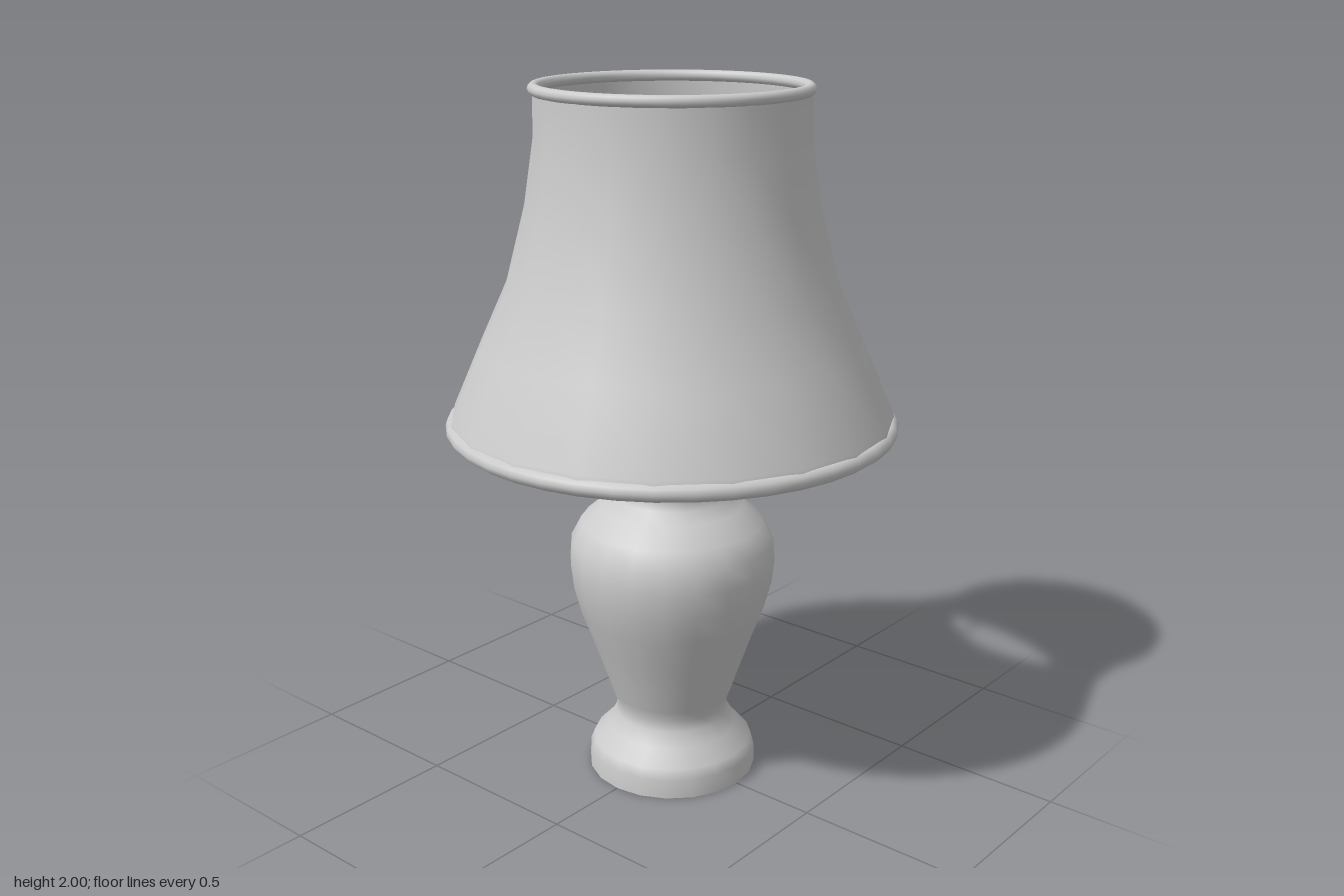
import * as THREE from 'three';

const SIDES = 20;

export function createModel() {
  const lamp = new THREE.Group();
  lamp.name = 'tableLamp';
  const grey = new THREE.MeshStandardMaterial({ color: 0xcccccc });
  const thin = new THREE.MeshStandardMaterial({ color: 0xcccccc, side: THREE.DoubleSide });

  const add = (name, geometry, material = grey) => {
    const mesh = new THREE.Mesh(geometry, material);
    mesh.name = name;
    lamp.add(mesh);
    return mesh;
  };
  // Profiles are [radius, height] pairs, listed from bottom to top
  const lathe = (profile) =>
    new THREE.LatheGeometry(profile.map(([r, y]) => new THREE.Vector2(r, y)), SIDES);

  // Turned baluster body with foot, belly and collar
  add('body', lathe([
    [0.247, 0], [0.245, 0.055], [0.233, 0.085], [0.19, 0.13], [0.167, 0.17], [0.162, 0.2],
    [0.175, 0.235], [0.2, 0.31], [0.235, 0.41], [0.268, 0.5], [0.289, 0.58], [0.297, 0.65],
    [0.292, 0.715], [0.263, 0.77], [0.205, 0.82], [0.168, 0.85], [0.15, 0.895],
    [0.188, 0.93], [0.196, 0.95], [0.194, 0.97], [0.15, 0.99], [0.133, 1.02],
    [0.108, 1.05], [0.07, 1.07], [0.06, 1.08], [0.06, 1.11], [0.045, 1.12], [0, 1.12],
  ]));
  const foot = add('footUnderside', new THREE.CircleGeometry(0.247, SIDES));
  foot.rotation.x = Math.PI / 2;

  // Light bulb: narrow neck swelling into a round top
  const bulb = [[0.045, 1.11], [0.05, 1.14], [0.062, 1.175], [0.085, 1.215]];
  for (let i = 0; i <= 8; i++) {
    const a = -0.35 + (i / 8) * (Math.PI / 2 + 0.35);
    bulb.push([0.115 * Math.cos(a), 1.29 + 0.115 * Math.sin(a)]);
  }
  add('bulb', lathe(bulb));

  // Flared bell shade, open at both ends
  add('shade', lathe([
    [0.622, 1.07], [0.618, 1.1], [0.535, 1.29], [0.458, 1.46],
    [0.403, 1.67], [0.375, 1.85], [0.372, 1.985],
  ]), thin);

  // Rolled trims at the shade's two rims
  const trim = (name, radius, tube, y) => {
    const ring = add(name, new THREE.TorusGeometry(radius, tube, 10, 40));
    ring.rotation.x = Math.PI / 2;
    ring.position.y = y;
  };
  trim('topTrim', 0.366, 0.016, 1.984);
  trim('bottomTrim', 0.609, 0.024, 1.068);

  // Four wire spokes carrying the shade
  for (let i = 0; i < 4; i++) {
    const spoke = add('spoke', new THREE.CylinderGeometry(0.007, 0.007, 0.56, 8).translate(0, 0.33, 0));
    spoke.rotation.set(Math.PI / 2, 0, (i * Math.PI) / 2);
    spoke.position.y = 1.075;
  }

  return lamp;
}
